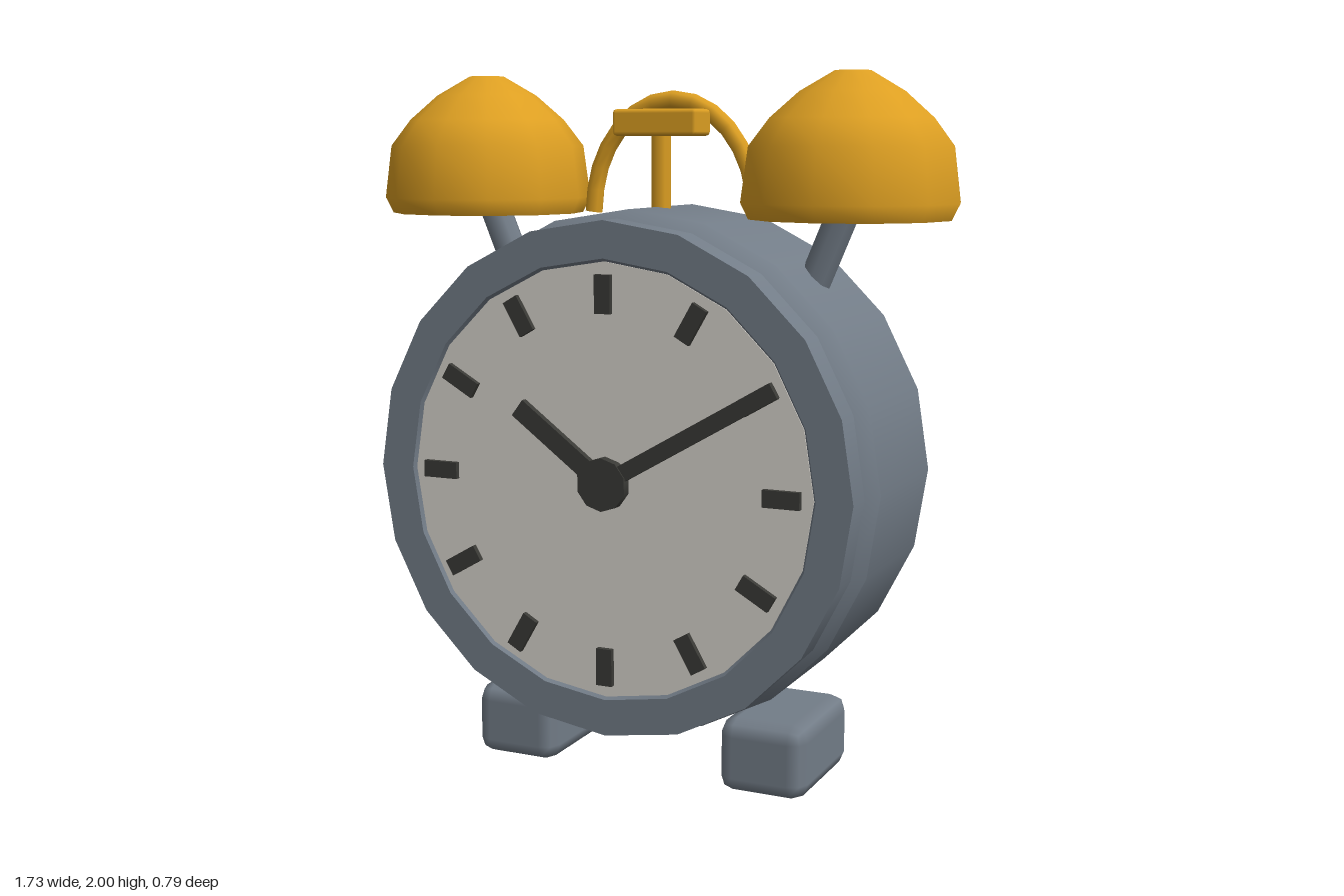
import * as THREE from 'three';
import { RoundedBoxGeometry } from 'three/addons/geometries/RoundedBoxGeometry.js';

const paint = (name, color) => {
  const m = new THREE.MeshStandardMaterial({ color });
  m.name = name;
  return m;
};

// Lathe from [radius, height] points; a repeated point gives a sharp edge.
const lathe = (points, sides) =>
  new THREE.LatheGeometry(points.map(([r, h]) => new THREE.Vector2(r, h)), sides);

// Disc whose axis lies along z, between two depths.
const disc = (radius, z0, z1, sides) =>
  new THREE.CylinderGeometry(radius, radius, z1 - z0, sides)
    .rotateX(Math.PI / 2).translate(0, 0, (z0 + z1) / 2);

export function createModel() {
  const metal = paint('grey metal', 0x737d88);
  const gold = paint('gold', 0xdd9f22);
  const ivory = paint('ivory', 0xd9d5ce);
  const black = paint('charcoal', 0x3a3a36);

  const root = new THREE.Group();
  root.name = 'alarmClock';
  const clock = new THREE.Group();
  clock.name = 'clockBody';
  clock.position.y = 0.895;
  root.add(clock);

  const add = (parent, name, geometry, material, x = 0, y = 0, z = 0) => {
    const mesh = new THREE.Mesh(geometry, material);
    mesh.name = name;
    mesh.position.set(x, y, z);
    parent.add(mesh);
    return mesh;
  };

  // Drum with softened rims
  add(clock, 'drum', lathe([
    [0, -0.28], [0.655, -0.28], [0.655, -0.28], [0.71, -0.26], [0.735, -0.215],
    [0.735, -0.215], [0.735, 0.215], [0.735, 0.215], [0.71, 0.26], [0.67, 0.285], [0.67, 0.285], [0, 0.285],
  ], 20).rotateX(Math.PI / 2), metal);

  // Front ring and dial
  add(clock, 'bezel', lathe([
    [0.6, 0.28], [0.712, 0.28], [0.712, 0.28], [0.712, 0.37], [0.712, 0.37],
    [0.61, 0.37], [0.61, 0.37], [0.6, 0.355], [0.6, 0.355], [0.6, 0.28],
  ], 20).rotateX(Math.PI / 2), metal);
  add(clock, 'dial', disc(0.602, 0.28, 0.361, 20), ivory);

  // Hour marks
  for (let i = 0; i < 12; i++) {
    const a = (i * Math.PI) / 6;
    const mark = add(clock, 'hourMark', new THREE.BoxGeometry(0.047, 0.105, 0.025), black,
      0.515 * Math.sin(a), 0.515 * Math.cos(a), 0.364);
    mark.rotation.z = -a;
  }

  // Hands, measured clockwise from twelve
  const hand = (name, angle, length, width, z) => {
    const g = new THREE.BoxGeometry(width, length, 0.02).translate(0, length / 2, 0);
    add(clock, name, g, black, 0, 0, z).rotation.z = -angle;
  };
  hand('hourHand', -0.93, 0.325, 0.055, 0.372);
  hand('minuteHand', Math.PI / 3, 0.572, 0.045, 0.376);
  add(clock, 'handHub', disc(0.074, 0.355, 0.39, 10), black);

  // Back cover, winding key and screws
  add(clock, 'backCover', disc(0.5, -0.305, -0.27, 16), metal);
  add(clock, 'keyStem', disc(0.054, -0.36, -0.3, 10), metal);
  add(clock, 'windingKey', new RoundedBoxGeometry(0.3, 0.14, 0.045, 1, 0.02), gold, 0, 0, -0.373);
  for (const s of [-1, 1]) {
    add(clock, 'screw', disc(0.044, -0.327, -0.3, 6), black, s * 0.345, 0.04, 0);
  }

  // Feet, bell posts and bells on both sides
  const bell = lathe([
    [0, 1.605], [0.28, 1.605], [0.28, 1.605], [0.302, 1.65], [0.282, 1.8],
    [0.225, 1.875], [0.145, 1.945], [0.05, 2], [0, 2],
  ], 12);
  const up = new THREE.Vector3(0, 1, 0);
  for (const s of [-1, 1]) {
    const side = s > 0 ? 'left' : 'right';
    add(root, side + 'Foot', new RoundedBoxGeometry(0.26, 0.215, 0.4, 1, 0.048), metal, s * 0.39, 0.1075, 0);
    add(root, side + 'Bell', bell, gold, s * 0.565, 0, 0);
    const low = new THREE.Vector3(s * 0.455, 1.41, 0);
    const high = new THREE.Vector3(s * 0.56, 1.66, 0);
    const dir = high.clone().sub(low);
    const post = add(root, side + 'BellPost', new THREE.CylinderGeometry(0.046, 0.046, dir.length(), 8), metal);
    post.position.copy(low).add(high).multiplyScalar(0.5);
    post.quaternion.setFromUnitVectors(up, dir.normalize());
  }

  // Carrying handle
  const arch = [];
  for (let i = 0; i <= 10; i++) {
    const a = (i * Math.PI) / 10;
    arch.push(new THREE.Vector3(-0.255 * Math.cos(a), 1.61 + 0.32 * Math.sin(a), -0.08));
  }
  add(root, 'handle', new THREE.TubeGeometry(new THREE.CatmullRomCurve3(arch), 14, 0.026, 8), gold);

  // Hammer between the bells
  add(root, 'hammerStem', new THREE.CylinderGeometry(0.029, 0.029, 0.26, 8), gold, 0, 1.72, 0);
  add(root, 'hammerHead', new RoundedBoxGeometry(0.26, 0.075, 0.11, 1, 0.012), gold, 0, 1.865, 0);

  return root;
}
